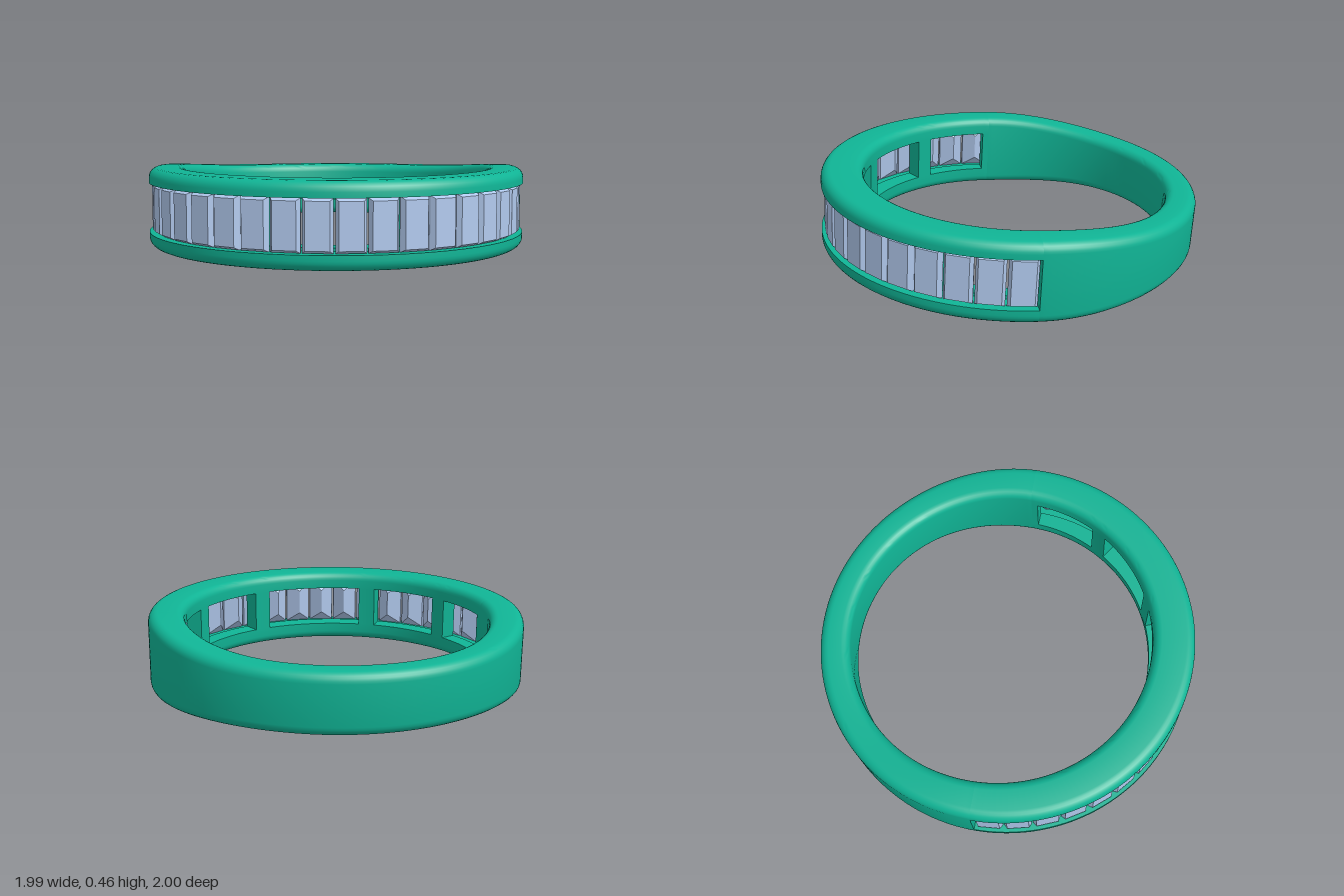
import * as THREE from 'three';
import { toCreasedNormals } from 'three/addons/utils/BufferGeometryUtils.js';
import { ConvexGeometry } from 'three/addons/geometries/ConvexGeometry.js';

const R = 0.995;          // outer radius
const FLOOR = 0.88;       // radius of the channel floor
const CHANNEL = 0.128;    // half height of the stone channel
const WINDOW = 0.112;     // half height of the inner windows
const deg = Math.PI / 180;

// Angle a is measured from the front (+z) towards +x.
// The bore is off centre, so the wall is thinner at the back.
const bore = a => {
  const off = -0.03, s = off * Math.sin(a);
  return off * Math.cos(a) + Math.sqrt(0.805 ** 2 - s * s);
};

// The band keeps its height along the front half and narrows to the back.
const halfHeight = a => {
  const t = Math.max(0, -Math.cos(a));
  return 0.153 + 0.052 * (1 + Math.cos(Math.PI * t)) / 2;
};

// Rounded corner in the (radius, y) plane
function fillet(cx, cy, radius, from, steps = 6) {
  const pts = [];
  for (let i = 0; i <= steps; i++) {
    const t = from + (i / steps) * Math.PI / 2;
    pts.push([cx + radius * Math.cos(t), cy + radius * Math.sin(t)]);
  }
  return pts;
}

// Upper edge of the band: outer corner, flat top, inner corner
function upperEdge(a) {
  const h = halfHeight(a), fo = 0.05, fi = 0.045;
  return [...fillet(R - fo, h - fo, fo, 0), ...fillet(bore(a) + fi, h - fi, fi, Math.PI / 2)];
}

const flip = pts => pts.map(([r, y]) => [r, -y]).reverse();

const bandSection = a => [...upperEdge(a), ...flip(upperEdge(a))];
const railSection = a => [
  [R, CHANNEL], ...upperEdge(a), [bore(a), WINDOW], [FLOOR, WINDOW], [FLOOR, CHANNEL],
];
const barSection = a => [[FLOOR, -WINDOW], [FLOOR, WINDOW], [bore(a), WINDOW], [bore(a), -WINDOW]];

// Sweep a counterclockwise closed section around the ring and cap both ends
function sweep(section, a0, a1, steps) {
  const pos = [], index = [];
  let n = 0;
  for (let i = 0; i <= steps; i++) {
    const a = a0 + (a1 - a0) * i / steps;
    const pts = section(a);
    n = pts.length;
    for (const [r, y] of pts) pos.push(r * Math.sin(a), y, r * Math.cos(a));
  }
  for (let i = 0; i < steps; i++) {
    for (let j = 0; j < n; j++) {
      const p = i * n + j, q = i * n + (j + 1) % n;
      index.push(p, p + n, q, q, p + n, q + n);
    }
  }
  const contour = section(a0).map(([r, y]) => new THREE.Vector2(r, y));
  for (const [a, b, c] of THREE.ShapeUtils.triangulateShape(contour, [])) {
    const e = steps * n;
    index.push(a, b, c, e + a, e + c, e + b);
  }
  const geo = new THREE.BufferGeometry();
  geo.setAttribute('position', new THREE.Float32BufferAttribute(pos, 3));
  geo.setIndex(index);
  return toCreasedNormals(geo, 0.55);
}

// Baguette-cut stone: table, girdle and a keel, pointing outward along +z
function stoneGeometry() {
  const levels = [
    [0.057, 0.113, 0.977],
    [0.071, 0.126, 0.953],
    [0.069, 0.126, 0.938],
    [0.002, 0.070, 0.886],
  ];
  const pts = [];
  for (const [x, y, z] of levels)
    for (const sx of [-1, 1])
      for (const sy of [-1, 1]) pts.push(new THREE.Vector3(sx * x, sy * y, z));
  return new ConvexGeometry(pts);
}

export function createModel() {
  const metal = new THREE.MeshStandardMaterial({ color: 0x10b495 });
  const gem = new THREE.MeshStandardMaterial({ color: 0xb0c8ec, flatShading: true });
  const ring = new THREE.Group();
  ring.name = 'ring';
  const add = (name, geo, mat) => {
    const mesh = new THREE.Mesh(geo, mat);
    mesh.name = name;
    ring.add(mesh);
    return mesh;
  };

  // Solid back half
  add('backBand', sweep(bandSection, 90 * deg, 270 * deg, 96), metal);

  // Two rails that hold the stones along the front half
  add('upperRail', sweep(railSection, -90 * deg, 90 * deg, 96), metal);
  add('lowerRail', sweep(a => flip(railSection(a)), -90 * deg, 90 * deg, 96), metal);

  // Bars between the five inner windows
  for (const [from, to] of [[20.7, 27.7], [56.5, 63], [87.5, 90]]) {
    add('leftWindowBar', sweep(barSection, from * deg, to * deg, 4), metal);
    add('rightWindowBar', sweep(barSection, -to * deg, -from * deg, 4), metal);
  }

  // Twenty stones side by side in the channel
  const stone = stoneGeometry();
  for (let i = 0; i < 20; i++) add('stone', stone, gem).rotation.y = (-85.5 + 9 * i) * deg;

  // The ring rests on its side with the front slightly raised
  ring.rotation.x = -0.05;
  ring.position.y = 0.21;

  const model = new THREE.Group();
  model.name = 'channelSetRing';
  model.add(ring);
  return model;
}
